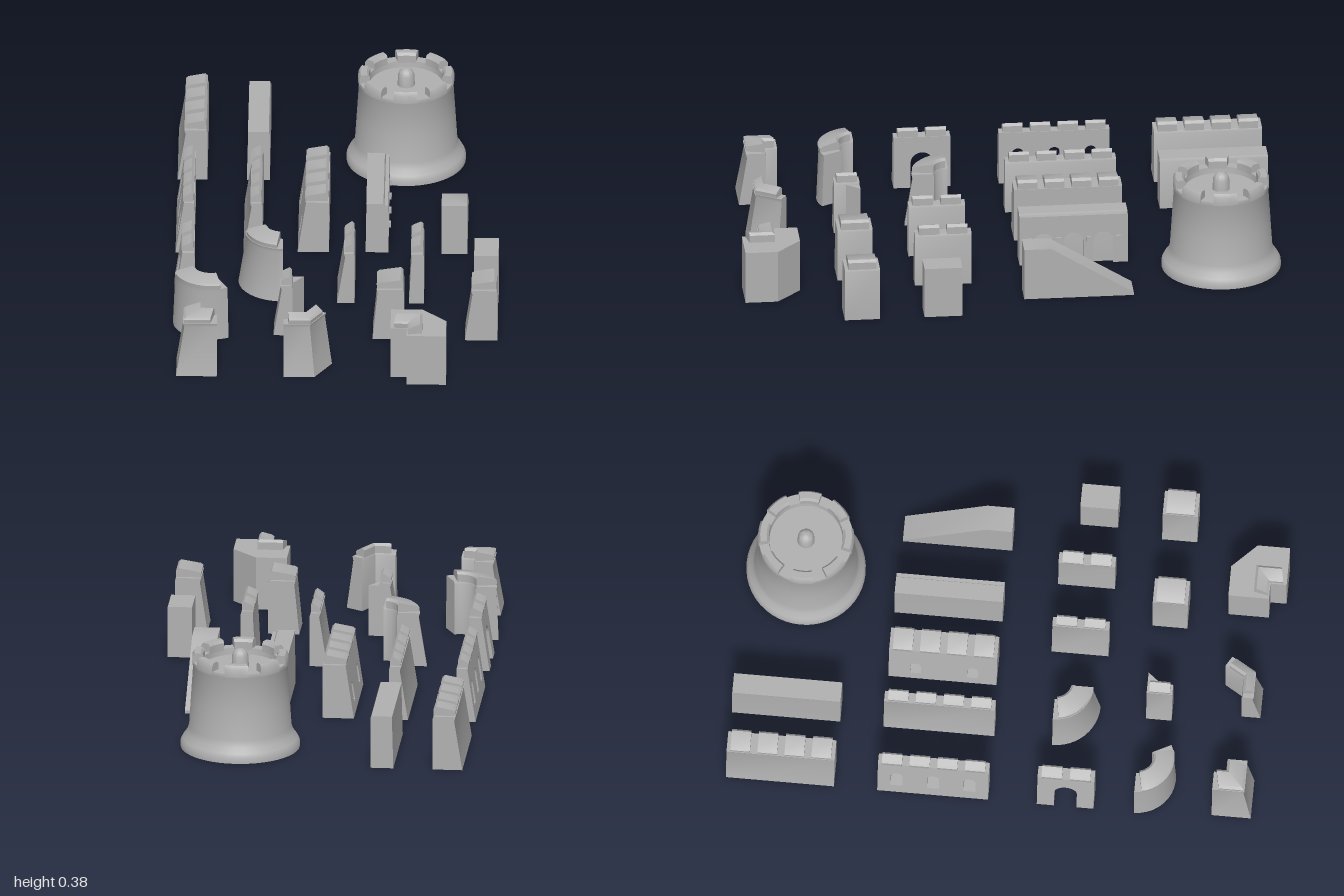
import * as THREE from 'three';
import { toCreasedNormals } from 'three/addons/utils/BufferGeometryUtils.js';

const Y0 = 0.01;
const stone = new THREE.MeshStandardMaterial({ color: 0xb0b0b0, side: THREE.DoubleSide });
stone.name = 'stone grey';

function mesh(name, geometry) {
  const m = new THREE.Mesh(toCreasedNormals(geometry, 0.6), stone);
  m.name = name;
  return m;
}

// The pieces are hollow casts: drop the triangles lying on the ground
function openBottom(geometry) {
  const g = geometry.index ? geometry.toNonIndexed() : geometry;
  const p = g.attributes.position, out = [];
  for (let i = 0; i < p.count; i += 3) {
    if ([0, 1, 2].every(k => p.getY(i + k) < Y0 + 0.001)) continue;
    for (let k = 0; k < 3; k++) out.push(p.getX(i + k), p.getY(i + k), p.getZ(i + k));
  }
  return new THREE.BufferGeometry().setAttribute('position', new THREE.Float32BufferAttribute(out, 3));
}

// Paths are stations [x, z, nx, nz]; n points from the outer face inwards
function polyPath(pts) {
  const normals = pts.slice(1).map((b, i) => {
    const dx = b[0] - pts[i][0], dz = b[1] - pts[i][1], l = Math.hypot(dx, dz);
    return [dz / l, -dx / l];
  });
  return pts.map((p, i) => {
    const a = normals[Math.max(i - 1, 0)], b = normals[Math.min(i, normals.length - 1)];
    const k = 1 + a[0] * b[0] + a[1] * b[1];
    return [...p, (a[0] + b[0]) / k, (a[1] + b[1]) / k];
  });
}
const straight = (x, z0, z1) => polyPath([[x, z0], [x, z1]]);
function arcPath(cx, cz, r, a0, a1, n = 12) {
  return Array.from({ length: n + 1 }, (_, i) => {
    const a = a0 + (a1 - a0) * i / n, c = Math.cos(a), s = Math.sin(a);
    return [cx + r * c, cz + r * s, -c, -s];
  });
}
function subPath(path, t0, t1) {
  const d = [0];
  for (let i = 1; i < path.length; i++) {
    d.push(d[i - 1] + Math.hypot(path[i][0] - path[i - 1][0], path[i][1] - path[i - 1][1]));
  }
  const total = d[d.length - 1];
  const at = s => {
    const i = Math.max(1, d.findIndex(v => v >= s - 1e-9));
    const f = (s - d[i - 1]) / (d[i] - d[i - 1]);
    return path[i].map((v, k) => path[i - 1][k] + (v - path[i - 1][k]) * f);
  };
  const [a, b] = [t0 * total, t1 * total];
  return [at(a), ...path.filter((_, i) => d[i] > a + 1e-6 && d[i] < b - 1e-6), at(b)];
}

// Sweep an open-bottomed section [inset, y] along a path and cap both ends
function sweep(path, section) {
  const out = [];
  const put = (s, [u, y]) => out.push(s[0] + s[2] * u, y, s[1] + s[3] * u);
  for (let i = 0; i < path.length - 1; i++) {
    for (let j = 0; j < section.length - 1; j++) {
      const a = path[i], b = path[i + 1], p = section[j], q = section[j + 1];
      put(a, p); put(b, p); put(b, q);
      put(a, p); put(b, q); put(a, q);
    }
  }
  const caps = THREE.ShapeUtils.triangulateShape(section.map(p => new THREE.Vector2(...p)), []);
  for (const f of caps) {
    for (const k of f) put(path[0], section[k]);
    for (const k of [...f].reverse()) put(path[path.length - 1], section[k]);
  }
  return new THREE.BufferGeometry().setAttribute('position', new THREE.Float32BufferAttribute(out, 3));
}

// Row of worn merlons, lower on the outer side
function merlons(group, path, w, count, lean = 0.03) {
  const sec = [[lean, 0.205], [lean - 0.003, 0.23], [lean + 0.006, 0.237],
    [w - 0.012, 0.249], [w - 0.003, 0.24], [w - 0.003, 0.205]];
  for (let i = 0; i < count; i++) {
    const pad = count === 1 ? 0.1 : 0.14;
    group.add(mesh('merlon', sweep(subPath(path, (i + pad) / count, (i + 1 - pad) / count), sec)));
  }
}

// Battered wall following a path
function wall(name, path, w, count, lean = 0.03, top = 0.215) {
  const g = new THREE.Group();
  g.name = name;
  g.add(mesh('wallBody', sweep(path, [[0, Y0], [lean, top - 0.015], [lean * 0.85, top],
    [w - 0.004, top], [w, top - 0.01], [w, Y0]])));
  if (count) merlons(g, path, w, count, lean);
  return g;
}

// Side outline in (z, y) with arches cut up from the ground
function arcadeShape(z0, z1, top, arches, r, spring) {
  const s = new THREE.Shape().moveTo(z0, Y0);
  for (const c of arches) {
    s.lineTo(c - r, Y0);
    s.lineTo(c - r, spring);
    s.absarc(c, spring, r, Math.PI, 0, true);
    s.lineTo(c + r, Y0);
  }
  s.lineTo(z1, Y0);
  s.lineTo(z1, top);
  s.lineTo(z0, top);
  return s;
}
function windowHole(c, y0, y1, r) {
  const h = new THREE.Path().moveTo(c - r, y0);
  h.lineTo(c + r, y0);
  h.lineTo(c + r, y1 - r);
  h.absarc(c, y1 - r, r, 0, Math.PI, false);
  h.lineTo(c - r, y0);
  return h;
}
// Extrude a side outline across x, leaning the -x face inwards
function pierced(shape, x, w, lean) {
  const g = new THREE.ExtrudeGeometry(shape, { depth: w, bevelEnabled: false, curveSegments: 8 });
  const p = g.attributes.position;
  for (let i = 0; i < p.count; i++) {
    const z = p.getX(i), y = p.getY(i), c = p.getZ(i);
    p.setXYZ(i, x + c + (c < w / 2 ? lean * (y - Y0) / 0.2 : 0), y, z);
  }
  return openBottom(g);
}
function piercedWall(name, x, w, z0, z1, count, arches, r, spring, holes) {
  const g = new THREE.Group();
  g.name = name;
  const s = arcadeShape(z0, z1, 0.215, arches, r, spring);
  s.holes.push(...holes);
  g.add(mesh('wallBody', pierced(s, x, w, 0.03)));
  merlons(g, straight(x, z0, z1), w, count);
  return g;
}

// Upright block on a footprint [x, z]
function block(name, pts, top) {
  const g = new THREE.ExtrudeGeometry(new THREE.Shape(pts.map(([x, z]) => new THREE.Vector2(x, -z))),
    { depth: top - Y0, bevelEnabled: false });
  g.rotateX(-Math.PI / 2).translate(0, Y0, 0);
  return mesh(name, openBottom(g));
}

function tower() {
  const g = new THREE.Group();
  g.name = 'roundTower';
  const profile = [[0.22, Y0], [0.22, 0.03], [0.212, 0.045], [0.197, 0.065], [0.189, 0.09], [0.182, 0.2],
    [0.174, 0.325], [0.176, 0.33], [0.174, 0.342], [0.138, 0.342], [0.135, 0.318], [0, 0.318]];
  g.add(mesh('towerBody', new THREE.LatheGeometry(profile.map(p => new THREE.Vector2(...p)), 48)));
  for (let i = 0; i < 8; i++) {
    const a = i * Math.PI / 4;
    g.add(mesh('towerMerlon', sweep(arcPath(0, 0, 0.177, a - 0.25, a + 0.25, 5),
      [[0, 0.33], [0, 0.362], [0.008, 0.374], [0.032, 0.374], [0.04, 0.364], [0.04, 0.325]])));
  }
  const knob = [[0.032, 0.318], [0.03, 0.36], [0.024, 0.375], [0.012, 0.384], [0, 0.385]];
  g.add(mesh('towerKnob', new THREE.LatheGeometry(knob.map(p => new THREE.Vector2(...p)), 20)));
  g.position.set(0.24, 0, -0.78);
  return g;
}

export function createModel() {
  const model = new THREE.Group();
  model.name = 'castleSet';
  const add = (...parts) => model.add(...parts);

  // Back row
  add(wall('longThickWall', straight(-0.6, -1, -0.6), 0.11, 4));
  add(wall('plainWall', straight(-0.345, -1, -0.6), 0.085, 0, 0.005, 0.21));
  add(tower());

  // Second row: long walls and ramp
  add(piercedWall('windowWall', -0.6, 0.07, -0.44, -0.03, 4, [], 0, 0,
    [-0.37, -0.235, -0.1].map(z => windowHole(z, 0.06, 0.15, 0.022))));
  add(wall('longThinWall', straight(-0.35, -0.44, -0.03), 0.07, 4));
  add(piercedWall('slitWall', -0.15, 0.115, -0.44, -0.04, 4, [], 0, 0,
    [-0.34, -0.13].map(z => windowHole(z, 0.05, 0.12, 0.02))));
  const arcade = wall('arcadeWall', straight(0.1, -0.44, -0.04), 0.07, 0, 0.003, 0.212);
  arcade.add(mesh('blindArcade',
    pierced(arcadeShape(-0.44, -0.04, 0.205, [-0.35, -0.24, -0.13], 0.036, 0.1), 0.17, 0.014, 0)));
  for (const z of [-0.405, -0.295, -0.185, -0.075]) {
    const corbel = mesh('corbel', new THREE.BoxGeometry(0.014, 0.02, 0.018));
    corbel.position.set(0.186, 0.11, z);
    arcade.add(corbel);
  }
  add(arcade);
  const side = new THREE.Shape([[-0.03, Y0], [-0.03, 0.21], [-0.13, 0.21], [-0.435, 0.022], [-0.435, Y0]]
    .map(p => new THREE.Vector2(...p)));
  add(mesh('ramp', pierced(side, 0.38, 0.095, 0)));

  // Third row: gate, quarter curve and short walls
  add(piercedWall('gateWall', -0.6, 0.075, 0.15, 0.36, 2, [0.255], 0.042, 0.11, []));
  add(wall('quarterCurve', arcPath(-0.2, 0.185, 0.165, Math.PI, Math.PI / 2), 0.11, 1));
  add(wall('shortWall', straight(0, 0.15, 0.36), 0.065, 2));
  add(wall('shortThinWall', straight(0.265, 0.15, 0.36), 0.055, 2, 0.01));
  add(block('plainBlock', [[0.505, 0.21], [0.595, 0.21], [0.595, 0.35], [0.505, 0.35]], 0.205));

  // Fourth row: curve and end pieces
  add(wall('wideCurve', arcPath(-0.46, 0.51, 0.142, Math.PI, Math.PI * 0.35), 0.085, 1, 0.008));
  add(wall('wedgeEnd', straight(-0.23, 0.52, 0.615), 0.07, 1));
  add(block('wedge', [[-0.165, 0.52], [-0.12, 0.52], [-0.16, 0.57]], 0.205));
  add(wall('squareEnd', straight(0.135, 0.51, 0.64), 0.115, 1, 0.018));
  add(wall('taperedEnd', straight(0.475, 0.515, 0.645), 0.12, 1, 0.028));

  // Front row: corner pieces
  add(wall('squareCorner', polyPath([[-0.585, 0.795], [-0.585, 0.94], [-0.435, 0.94]]), 0.1, 1));
  add(wall('bentCorner', polyPath([[-0.19, 0.94], [-0.075, 0.94], [-0.012, 0.835]]), 0.07, 1));
  const corner = new THREE.Group();
  corner.name = 'cornerBastion';
  corner.add(block('bastionBody', [[0.205, 0.785], [0.32, 0.785], [0.41, 0.875], [0.41, 0.995],
    [0.265, 0.995], [0.265, 0.935], [0.205, 0.935]], 0.212));
  merlons(corner, polyPath([[0.205, 0.935], [0.265, 0.935], [0.265, 0.995]]), 0.06, 1, 0.006);
  add(corner);
  return model;
}
